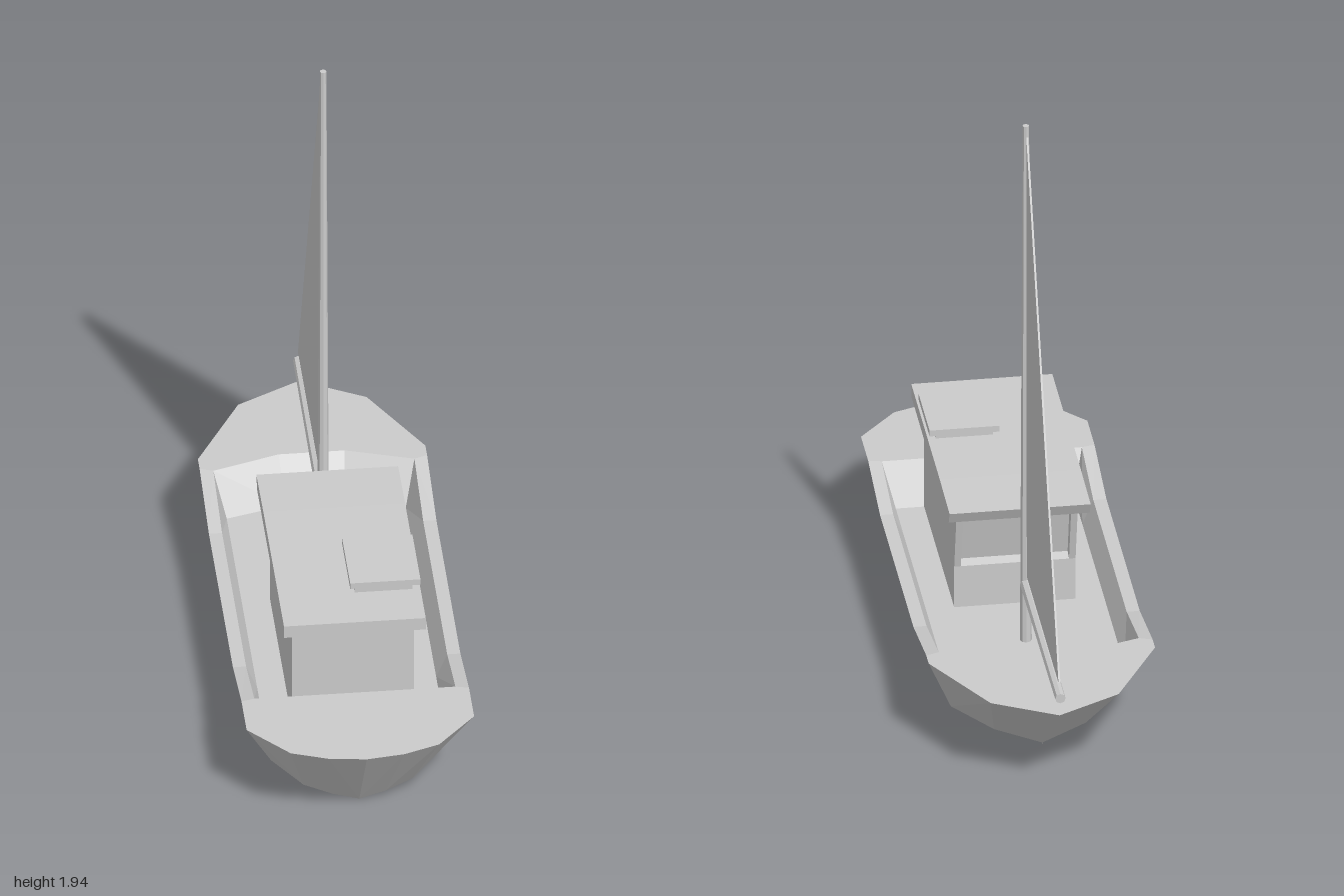
import * as THREE from 'three';

const material = new THREE.MeshStandardMaterial({
  color: 0xcccccc, flatShading: true, side: THREE.DoubleSide,
});

function add(parent, name, geometry, x = 0, y = 0, z = 0) {
  const mesh = new THREE.Mesh(geometry, material);
  mesh.name = name;
  mesh.position.set(x, y, z);
  parent.add(mesh);
  return mesh;
}

// Extrudes a side profile of [z, y] points to a width centred on x = 0
function sideExtrude(profile, width) {
  const shape = new THREE.Shape(profile.map(([z, y]) => new THREE.Vector2(z, y)));
  return new THREE.ExtrudeGeometry(shape, { depth: width, bevelEnabled: false })
    .translate(0, 0, -width / 2)
    .rotateY(-Math.PI / 2);
}

// Height of the deck edge, dipping amidships
function sheer(z) {
  const rise = Math.max((z - 0.41) / 0.25, (-0.29 - z) / 0.27);
  return 0.25 + 0.05 * THREE.MathUtils.clamp(rise, 0, 1);
}

// Hull half from bow to stern: deck edge x z, well edge x z, chine x y z
const stations = [
  [0, 1.0, 0, 0.65, 0, 0, 0.78],
  [0.115, 0.985, 0.1, 0.65, 0.08, 0.02, 0.775],
  [0.225, 0.945, 0.2, 0.65, 0.165, 0.035, 0.74],
  [0.345, 0.81, 0.305, 0.65, 0.25, 0.04, 0.61],
  [0.345, 0.66, 0.305, 0.65, 0.25, 0.04, 0.5],
  [0.345, 0.41, 0.305, 0.41, 0.25, 0.04, 0.35],
  [0.345, -0.29, 0.305, -0.29, 0.25, 0.04, -0.25],
  [0.345, -0.56, 0.305, -0.545, 0.25, 0.04, -0.4],
  [0.345, -0.61, 0.305, -0.545, 0.25, 0.04, -0.42],
  [0.195, -0.88, 0.1, -0.61, 0.14, 0.035, -0.57],
  [0, -0.985, 0, -0.61, 0, 0.005, -0.62],
];
const FLOOR = 0.17;

function hullGeometry() {
  // Each section runs keel, chine, deck edge, well edge, floor edge, floor centre
  const sections = stations.map(([ox, oz, ix, iz, bx, by, bz]) => {
    const fz = iz > 0.6 ? iz - 0.065 : iz < -0.5 ? iz + 0.07 + (iz < -0.6 ? 0.015 : 0) : iz;
    return [
      [0, 0, bz], [bx, by, bz],
      [ox, sheer(oz), oz], [ix, sheer(oz), iz],
      [ix * 0.89, FLOOR, fz], [0, FLOOR, fz],
    ];
  });
  const positions = [];
  for (const side of [1, -1]) {
    const push = (...corners) => {
      if (side < 0) corners.reverse();
      corners.forEach(([x, y, z]) => positions.push(x * side, y, z));
    };
    for (let i = 0; i < sections.length - 1; i++) {
      for (let r = 0; r < 5; r++) {
        const a = sections[i][r], b = sections[i + 1][r];
        const c = sections[i + 1][r + 1], d = sections[i][r + 1];
        push(a, b, c);
        push(a, c, d);
      }
    }
  }
  const geometry = new THREE.BufferGeometry();
  geometry.setAttribute('position', new THREE.Float32BufferAttribute(positions, 3));
  geometry.computeVertexNormals();
  return geometry;
}

export function createModel() {
  const boat = new THREE.Group();
  boat.name = 'sailboat';

  add(boat, 'hull', hullGeometry());

  // Cabin with a raked, recessed rear window between two cheeks
  const cabin = new THREE.Group();
  cabin.name = 'cabin';
  boat.add(cabin);
  add(cabin, 'cabinBody', sideExtrude([
    [0.59, FLOOR], [0.59, 0.52], [-0.06, 0.52], [-0.015, 0.32], [-0.045, 0.31], [-0.045, FLOOR],
  ], 0.37));
  const cheek = [[0.0, 0.31], [-0.045, 0.31], [-0.095, 0.52], [-0.04, 0.52]];
  for (const side of [1, -1]) add(cabin, 'windowFrame', sideExtrude(cheek, 0.02), side * 0.175);
  add(cabin, 'windowHeader', sideExtrude([
    [-0.05, 0.52], [-0.05, 0.5], [-0.09, 0.5], [-0.095, 0.52],
  ], 0.34));

  // Roof with an undercut rear lip, and the hatch on its left side
  add(cabin, 'roof', sideExtrude([
    [0.65, 0.518], [0.65, 0.56], [0.05, 0.56], [-0.155, 0.554], [-0.135, 0.514], [0.05, 0.514],
  ], 0.43));
  add(cabin, 'hatchBase', new THREE.BoxGeometry(0.175, 0.03, 0.19), 0.103, 0.57, 0.4);
  add(cabin, 'hatchCover', new THREE.BoxGeometry(0.213, 0.02, 0.235), 0.107, 0.595, 0.393);

  // Rig
  add(boat, 'mast', new THREE.CylinderGeometry(0.01, 0.018, 1.945 - FLOOR, 8),
    0, (1.945 + FLOOR) / 2, -0.275);
  add(boat, 'boom', new THREE.CylinderGeometry(0.016, 0.019, 0.72, 8).rotateX(-Math.PI / 2),
    0, 0.366, -0.64);
  add(boat, 'sail', sideExtrude([[-0.305, 1.92], [-0.315, 0.41], [-0.98, 0.41]], 0.006));

  return boat;
}
